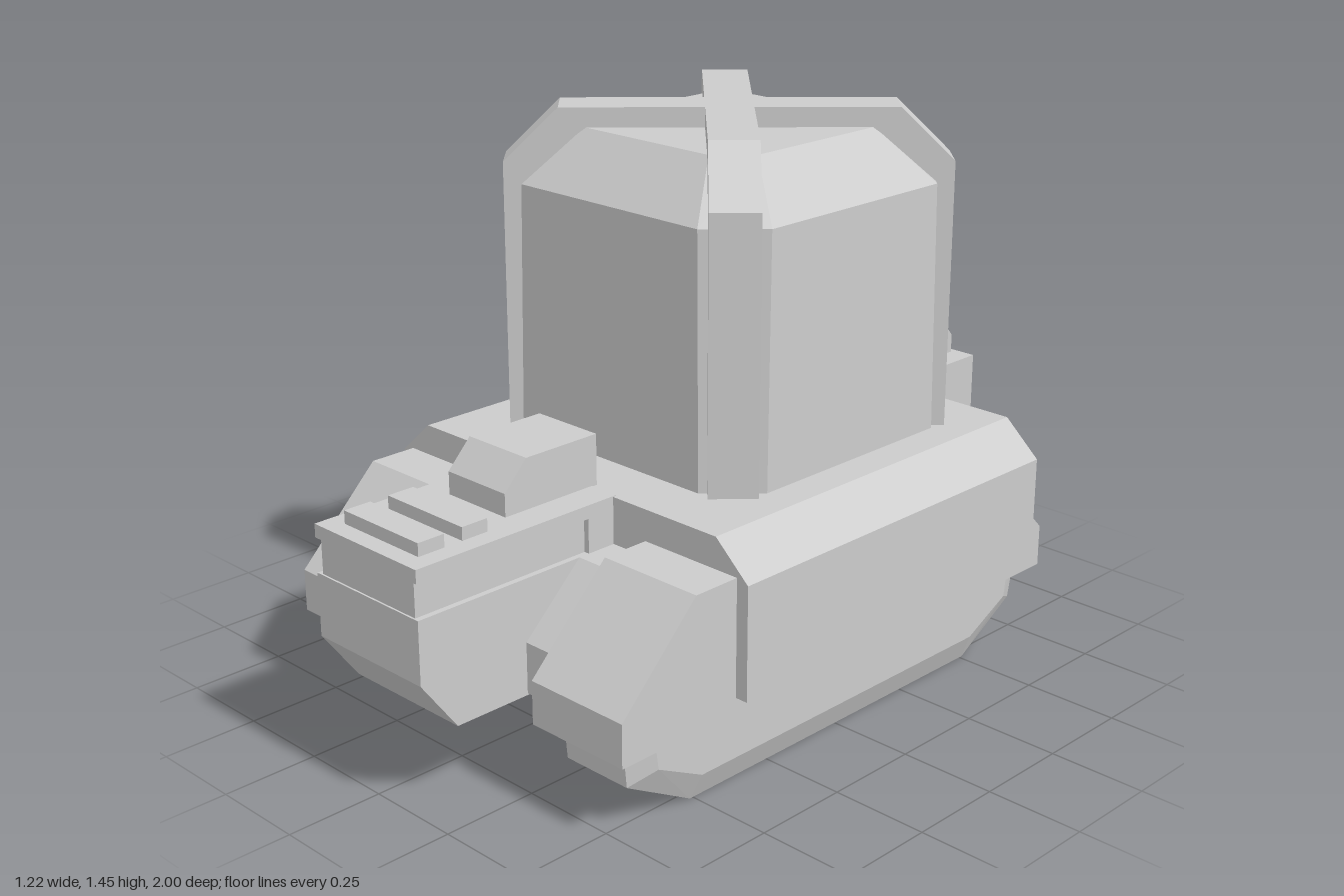
import * as THREE from 'three';
import { ConvexGeometry } from 'three/addons/geometries/ConvexGeometry.js';

const material = new THREE.MeshStandardMaterial({ color: 0xcccccc, flatShading: true });
const OFF = -0.006; // slight sideways shift of the centre parts

export function createModel() {
  const model = new THREE.Group();

  const add = (name, geometry) => {
    const mesh = new THREE.Mesh(geometry, material);
    mesh.name = name;
    model.add(mesh);
    return mesh;
  };
  const extrude = (points, depth) => {
    const shape = new THREE.Shape(points.map(([a, b]) => new THREE.Vector2(a, b)));
    return new THREE.ExtrudeGeometry(shape, { depth, bevelEnabled: false }).translate(0, 0, -depth / 2);
  };
  // Side profile of [z, y] points, extruded across x
  const sideProfile = (name, points, width, x = OFF) =>
    add(name, extrude(points, width).rotateY(-Math.PI / 2).translate(x, 0, 0));
  // Box given by width, y range and z range
  const block = (name, width, y0, y1, z0, z1) =>
    add(name, new THREE.BoxGeometry(width, y1 - y0, z1 - z0)
      .translate(OFF, (y0 + y1) / 2, (z0 + z1) / 2));
  const convex = (name, points) =>
    add(name, new ConvexGeometry(points.map((p) => new THREE.Vector3(...p))));

  // Main hull with chamfered upper edges
  add('hull', extrude([
    [-0.61, 0.24], [0.61, 0.24], [0.61, 0.53], [0.51, 0.62], [-0.51, 0.62], [-0.61, 0.53],
  ], 1.09).translate(0, 0, -0.135));

  // Belly between the tracks, with sloped nose and tapered tail
  sideProfile('belly', [
    [-0.68, 0.21], [0.69, 0.21], [0.69, 0.34], [0.52, 0.5], [-0.68, 0.5],
  ], 0.58);
  convex('bellyTail', [0.21, 0.34].flatMap((y) => [
    [-0.29, y, -0.67], [0.28, y, -0.67], [0.195, y, -0.775], [-0.205, y, -0.775],
  ]));

  // Tracks and their fenders on both sides
  const outer = [[0.72, 0.21], [0.71, 0.11], [0.51, 0], [-0.51, 0], [-0.7, 0.11], [-0.72, 0.21]];
  const inset = [[0.65, 0.21], [0.64, 0.14], [0.5, 0.07], [-0.5, 0.07], [-0.64, 0.14], [-0.65, 0.21]];
  for (const [side, s] of [['left', 1], ['right', -1]]) {
    const layers = [[0.303, inset], [0.333, outer], [0.527, outer], [0.557, inset]];
    convex(side + 'Track', layers.flatMap(([x, ring]) => ring.map(([z, y]) => [s * x, y, z])));
    sideProfile(side + 'Fender', [
      [-0.76, 0.2], [0.77, 0.2], [0.77, 0.31], [0.54, 0.54], [-0.55, 0.54], [-0.67, 0.4], [-0.76, 0.31],
    ], 0.292, s * 0.43);
  }

  // Front engine: lower block, recessed band, lid, ribs and a hood box
  sideProfile('engineBase', [
    [0.4, 0.205], [0.9, 0.205], [1, 0.34], [1, 0.5], [0.49, 0.5], [0.49, 0.6], [0.4, 0.6],
  ], 0.365);
  block('engineBand', 0.335, 0.49, 0.595, 0.45, 0.995);
  block('engineLid', 0.365, 0.588, 0.622, 0.4, 1);
  for (const z of [0.79, 0.915]) block('engineRib', 0.265, 0.615, 0.655, z - 0.037, z + 0.037);
  sideProfile('engineHood', [
    [0.385, 0.61], [0.672, 0.61], [0.672, 0.68], [0.605, 0.75], [0.385, 0.75],
  ], 0.2);

  // Rear box with a chamfered cap
  block('rearBox', 0.325, 0.24, 0.63, -1, -0.67);
  sideProfile('rearBoxCap', [
    [-0.98, 0.62], [-0.7, 0.62], [-0.7, 0.75], [-0.92, 0.75], [-0.98, 0.68],
  ], 0.2);

  // Tower: eight-sided body narrowing at the top
  const octagon = (y, r, c) => [[r, c], [c, r], [-c, r], [-r, c], [-r, -c], [-c, -r], [c, -r], [r, -c]]
    .map(([x, z]) => [x, y, z]);
  const tower = convex('towerBody', [
    ...octagon(0.6, 0.425, 0.31), ...octagon(1.26, 0.42, 0.3), ...octagon(1.395, 0.29, 0.21),
  ]);
  tower.position.set(OFF, 0, -0.17);

  // Two crossing diagonal straps over the tower
  for (const angle of [Math.PI / 4, -Math.PI / 4]) {
    const strap = add('towerStrap', extrude([
      [-0.555, 0.6], [0.555, 0.6], [0.555, 1.31], [0.418, 1.445], [-0.418, 1.445], [-0.555, 1.31],
    ], 0.12));
    strap.rotation.y = angle;
    strap.position.set(OFF, 0, -0.17);
  }

  return model;
}
